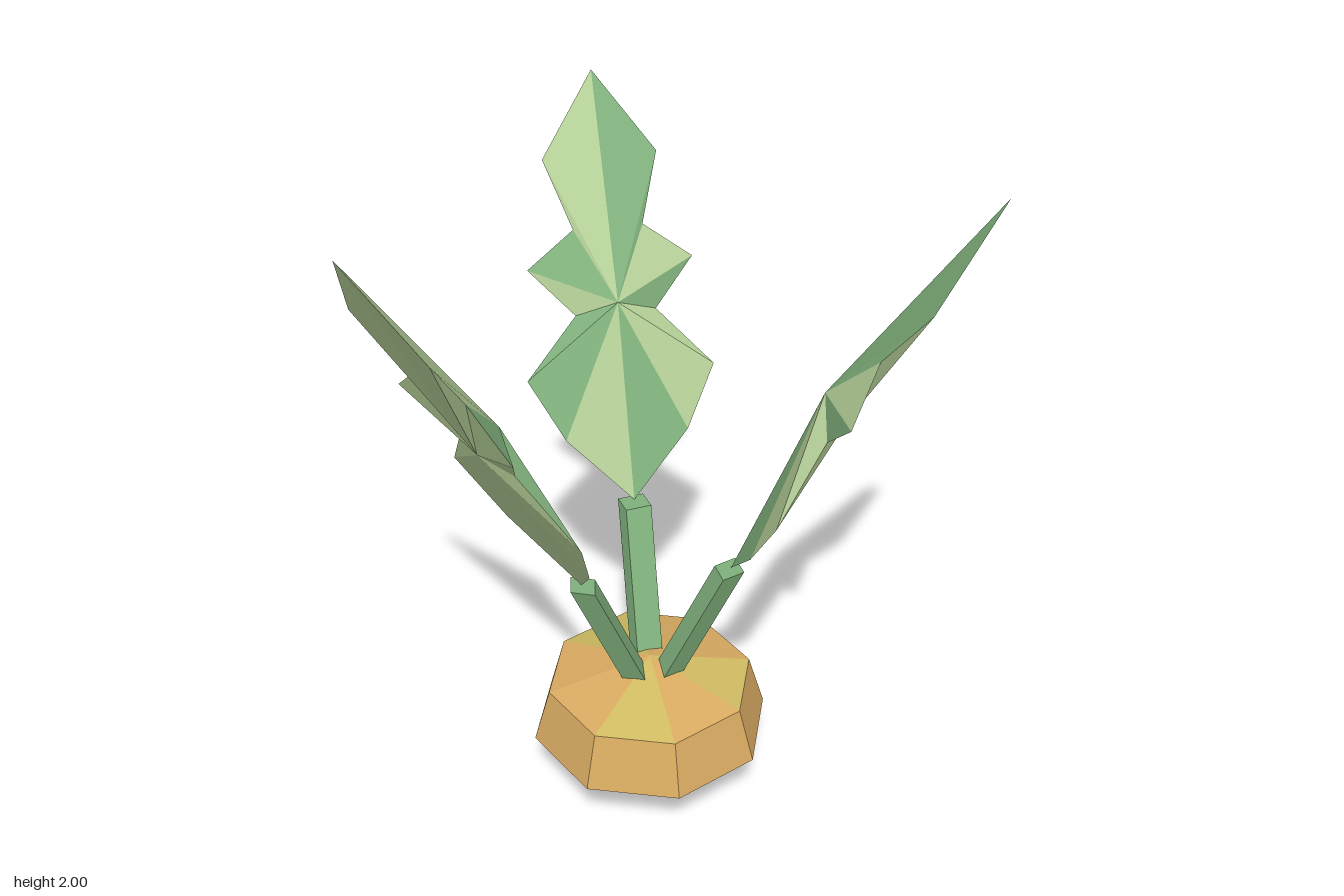
import * as THREE from 'three';

const mat = (name, color) => new THREE.MeshStandardMaterial({ name, color, flatShading: true });

// Flat-shaded mesh from a list of triangles, each made of three [x, y, z] corners
function facets(name, triangles, material) {
  const geometry = new THREE.BufferGeometry();
  geometry.setAttribute('position', new THREE.Float32BufferAttribute(triangles.flat(2), 3));
  geometry.computeVertexNormals();
  const mesh = new THREE.Mesh(geometry, material);
  mesh.name = name;
  return mesh;
}

// One half of the leaf outline from base to tip: [outward, height, half width]
const HALF = [
  [0.224, 0.82, 0], [0.325, 0.995, 0.165], [0.413, 1.17, 0.252], [0.488, 1.345, 0.108],
  [0.572, 1.47, 0.222], [0.6, 1.585, 0.093], [0.725, 1.765, 0.153], [0.84, 2.0, 0],
];
// Which inner facets are the darker green on the +z half; the other half is opposite
const DARK = [true, false, false, true, false, true, true];

function makeLeaf(pale, green, heightScale) {
  const leaf = new THREE.Group();
  leaf.name = 'leaf';
  const fit = ([x, y, z]) => [x, 0.82 + (y - 0.82) * heightScale, z];
  const inner = fit([0.449, 1.41, 0]);
  const outer = fit([0.516, 1.36, 0]);
  const paleTris = [], greenTris = [];
  for (const side of [1, -1]) {
    for (let i = 0; i < HALF.length - 1; i++) {
      let a = fit([HALF[i][0], HALF[i][1], HALF[i][2] * side]);
      let b = fit([HALF[i + 1][0], HALF[i + 1][1], HALF[i + 1][2] * side]);
      if (side < 0) [a, b] = [b, a];
      (DARK[i] === (side > 0) ? greenTris : paleTris).push([inner, a, b]);
      paleTris.push([outer, b, a]);
    }
  }
  leaf.add(facets('leafPaleFacets', paleTris, pale), facets('leafGreenFacets', greenTris, green));
  return leaf;
}

// Four-sided stem leaning outward, cut level at both ends
function makeStem(material, roll) {
  const geometry = new THREE.CylinderGeometry(0.05, 0.05, 0.465, 4);
  geometry.rotateY(roll).scale(0.8, 1, 1).translate(0, 0.5825, 0);
  const p = geometry.attributes.position;
  for (let i = 0; i < p.count; i++) p.setX(i, p.getX(i) + 0.22 + (p.getY(i) - 0.815) * 0.427);
  geometry.computeVertexNormals();
  const stem = new THREE.Mesh(geometry, material);
  stem.name = 'stem';
  return stem;
}

function makeBulb(tan, yellow) {
  const bulb = new THREE.Group();
  bulb.name = 'bulb';
  const sides = 8, yellowFacets = [1, 4, 7];
  const ring = (r, y, k) => {
    const a = (k / sides) * Math.PI * 2;
    return [r * Math.cos(a), y, r * Math.sin(a)];
  };
  const body = [], cap = [];
  for (let k = 0; k < sides; k++) {
    const a = ring(0.324, 0.23, k), b = ring(0.324, 0.23, k + 1);
    const c = ring(0.28, 0.387, k), d = ring(0.28, 0.387, k + 1);
    body.push([[0, 0, 0], a, b], [a, c, b], [b, c, d]);
    (yellowFacets.includes(k) ? cap : body).push([c, [0, 0.46, 0], d]);
  }
  bulb.add(facets('bulbBody', body, tan), facets('bulbYellowFacets', cap, yellow));
  return bulb;
}

export function createModel() {
  const pale = mat('paleGreen', 0xb4cf97);
  const green = mat('leafGreen', 0x80b07c);
  const tan = mat('tan', 0xd9ab62);
  const yellow = mat('yellow', 0xd0bb62);

  const model = new THREE.Group();
  model.name = 'sproutingBulb';
  const plant = new THREE.Group();
  plant.name = 'plant';
  plant.position.set(-0.12, 0, -0.082);
  plant.add(makeBulb(tan, yellow));

  // Three shoots, evenly spaced; the last one is shorter
  [[1, 0], [1, 0], [0.815, -0.6]].forEach(([heightScale, roll], i) => {
    const shoot = new THREE.Group();
    shoot.name = 'shoot';
    shoot.add(makeStem(green, roll), makeLeaf(pale, green, heightScale));
    shoot.rotation.y = -THREE.MathUtils.degToRad(-11.4 + i * 120);
    plant.add(shoot);
  });
  model.add(plant);
  return model;
}
